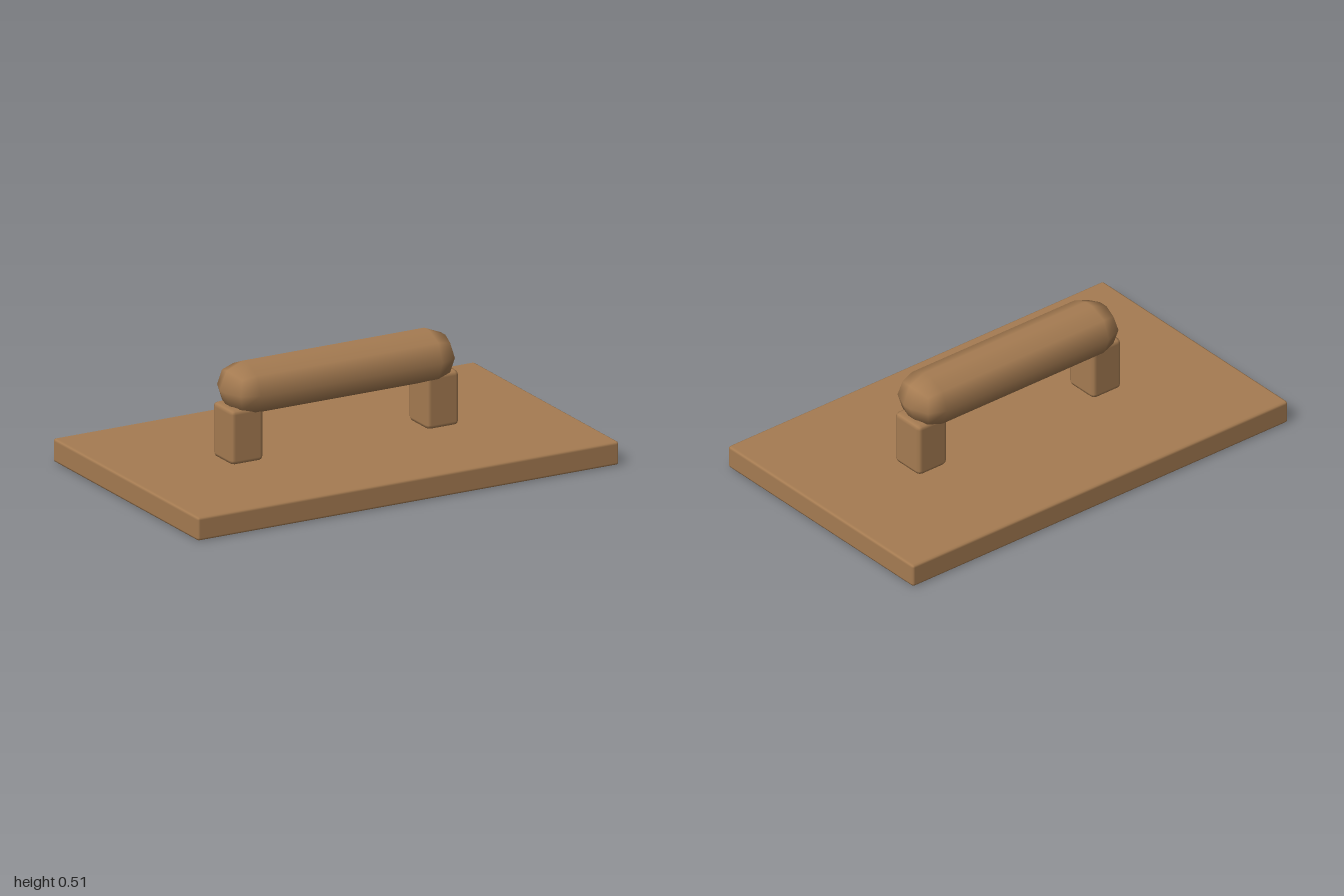
import * as THREE from 'three';
import { RoundedBoxGeometry } from 'three/addons/geometries/RoundedBoxGeometry.js';

export function createModel() {
  const group = new THREE.Group();
  const wood = new THREE.MeshStandardMaterial({ color: 0xa67c52 });
  wood.name = 'wood';

  // One bevel segment keeps the chunky, faceted edges; the size is grown by
  // the small amount such a coarse bevel falls short of its full extent.
  function block(name, w, h, d, bevel, x, y) {
    const k = 2 * bevel * (1 - 3 / Math.sqrt(11));
    const mesh = new THREE.Mesh(new RoundedBoxGeometry(w + k, h + k, d + k, 1, bevel), wood);
    mesh.name = name;
    mesh.position.set(x, y, 0);
    group.add(mesh);
  }

  // Flat base board
  block('board', 2, 0.1, 1.2, 0.012, 0, 0.05);

  // Two posts carrying the handle
  block('leftPost', 0.15, 0.235, 0.16, 0.02, 0.465, 0.2175);
  block('rightPost', 0.15, 0.235, 0.16, 0.02, -0.465, 0.2175);

  // Heavily bevelled grip bar
  block('grip', 1.06, 0.2, 0.24, 0.11, 0, 0.4);

  return group;
}
